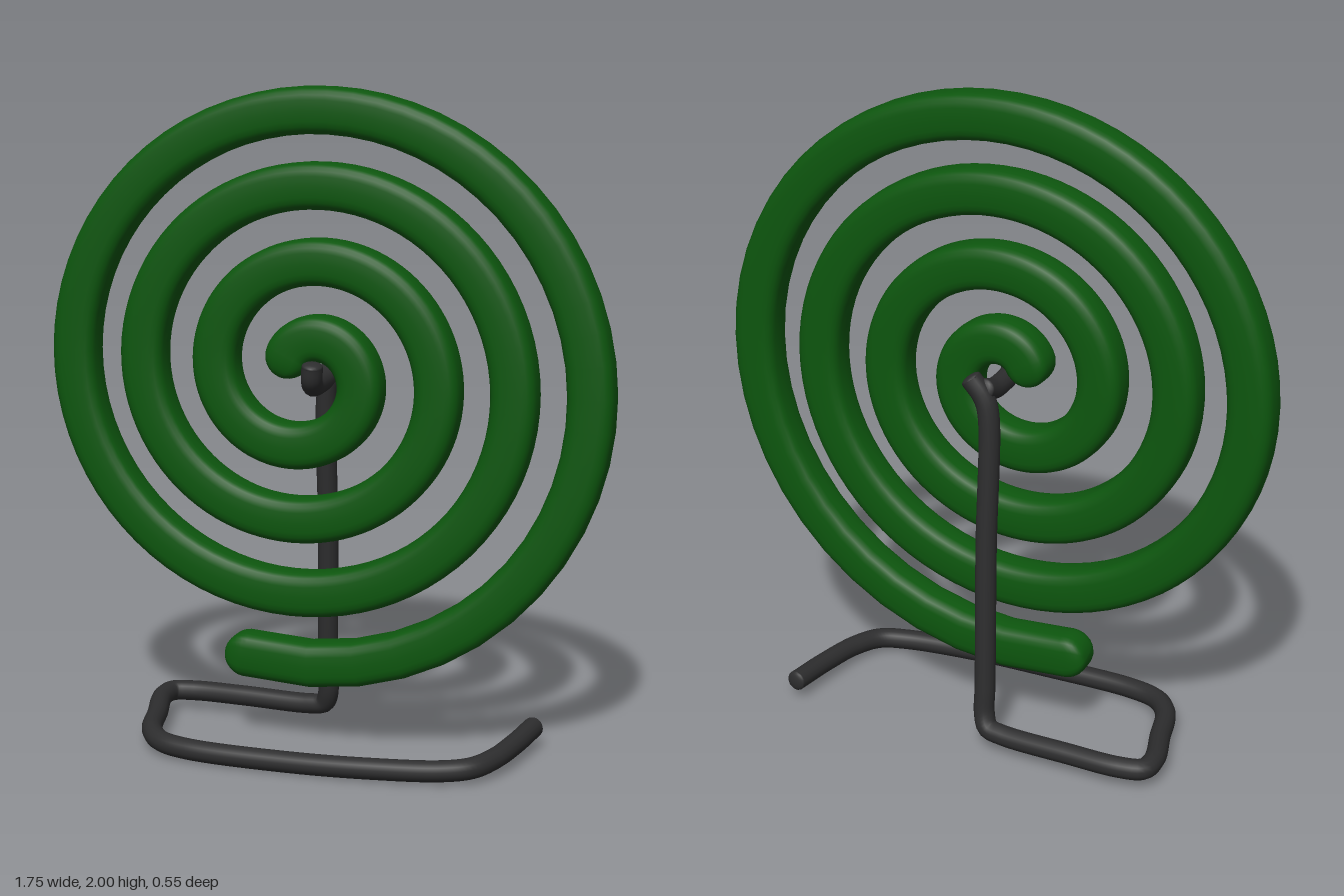
import * as THREE from 'three';

const V = (x, y, z) => new THREE.Vector3(x, y, z);

// Radii of the coil's centre line, one per quarter turn, from the outer end at the bottom
const RADII = [0.89, 0.857, 0.785, 0.75, 0.67, 0.63, 0.565, 0.525, 0.44, 0.4, 0.34, 0.29, 0.21, 0.16, 0.11, 0.06];
const radiusCurve = new THREE.CatmullRomCurve3(RADII.map((r, i) => V(r, i, 0)));

function spiralPoint(t) {
  const r = t < 0 ? RADII[0] - 0.06 * t : radiusCurve.getPoint(t / (RADII.length - 1)).x;
  const a = (t - 1) * Math.PI / 2;
  return V(-0.06 + r * Math.cos(a), 1.15 + r * Math.sin(a), -0.03);
}

// Flat spiral with a rounded-box cross-section and round ends
function coilGeometry() {
  const W = 0.07, D = 0.06, SIDES = 24, STEPS = 320, CAP = 8;
  const T0 = -0.14, T1 = 14.5;
  const rings = [];
  const tangentAt = (t) => spiralPoint(t + 0.01).sub(spiralPoint(t - 0.01)).normalize();
  const cap = (t, sign) => {
    const list = [];
    for (let i = 1; i <= CAP; i++) {
      const a = (i / CAP) * Math.PI / 2;
      const dir = tangentAt(t);
      list.push({
        p: spiralPoint(t).addScaledVector(dir, sign * W * Math.sin(a)), dir,
        w: W * Math.max(Math.cos(a), 0.001), d: D * Math.max(Math.pow(Math.cos(a), 0.4), 0.001),
      });
    }
    return list;
  };
  rings.push(...cap(T0, -1).reverse());
  for (let i = 0; i <= STEPS; i++) {
    // Steps grow finer toward the tight centre
    const t = T0 + (T1 - T0) * Math.pow(i / STEPS, 0.8);
    rings.push({ p: spiralPoint(t), dir: tangentAt(t), w: W, d: D });
  }
  rings.push(...cap(T1, 1));

  const pos = [], idx = [];
  const power = (v) => Math.sign(v) * Math.pow(Math.abs(v), 0.6);
  for (const { p, dir, w, d } of rings) {
    for (let j = 0; j < SIDES; j++) {
      const a = (j / SIDES) * Math.PI * 2;
      const u = w * power(Math.cos(a)), v = d * power(Math.sin(a));
      pos.push(p.x + dir.y * u, p.y - dir.x * u, p.z + v);
    }
  }
  for (let i = 0; i < rings.length - 1; i++) {
    for (let j = 0; j < SIDES; j++) {
      const k = (j + 1) % SIDES;
      const a = i * SIDES + j, b = i * SIDES + k, c = a + SIDES, e = b + SIDES;
      idx.push(a, b, c, b, e, c);
    }
  }
  const g = new THREE.BufferGeometry();
  g.setAttribute('position', new THREE.Float32BufferAttribute(pos, 3));
  // Outward winding: section runs outward -> front, rings run counter-clockwise
  for (let i = 0; i < idx.length; i += 3) [idx[i + 1], idx[i + 2]] = [idx[i + 2], idx[i + 1]];
  g.setIndex(orientOutward(idx, pos, SIDES, rings));
  g.computeVertexNormals();
  return g;
}

// Flip all faces if a middle face points into the tube
function orientOutward(idx, pos, sides, rings) {
  const ring = Math.floor(rings.length / 2);
  const at = ring * sides * 6;
  const [a, b, c] = [0, 1, 2].map((k) => V().fromArray(pos, idx[at + k] * 3));
  const normal = b.clone().sub(a).cross(c.clone().sub(a));
  if (normal.dot(a.clone().sub(rings[ring].p)) < 0) {
    for (let i = 0; i < idx.length; i += 3) [idx[i + 1], idx[i + 2]] = [idx[i + 2], idx[i + 1]];
  }
  return idx;
}

// Bent wire with softly rounded ends
function wire(name, points, segments, material) {
  const R = 0.032;
  const group = new THREE.Group();
  group.name = name;
  const curve = new THREE.CatmullRomCurve3(points.map((p) => V(...p)), false, 'centripetal');
  const rod = new THREE.Mesh(new THREE.TubeGeometry(curve, segments, R, 14), material);
  rod.name = name + 'Rod';
  group.add(rod);
  for (const t of [0, 1]) {
    const end = new THREE.Mesh(new THREE.SphereGeometry(R, 14, 10), material);
    end.name = name + 'End';
    end.scale.z = 0.4;
    end.position.copy(curve.getPoint(t));
    end.quaternion.setFromUnitVectors(V(0, 0, 1), curve.getTangent(t));
    group.add(end);
  }
  return group;
}

export function createModel() {
  const green = new THREE.MeshStandardMaterial({ color: 0x0d560e });
  green.name = 'coilGreen';
  const dark = new THREE.MeshStandardMaterial({ color: 0x2d2d2e });
  dark.name = 'wireDark';

  const model = new THREE.Group();
  model.name = 'coilOnStand';

  const coil = new THREE.Mesh(coilGeometry(), green);
  coil.name = 'spiralCoil';
  model.add(coil);

  // Base loop on the ground, rising into the back post
  model.add(wire('stand', [
    [0.594, 0.06, -0.23], [0.575, 0.055, -0.08], [0.545, 0.05, 0.06], [0.5, 0.045, 0.145], [0.42, 0.04, 0.185],
    [0.2, 0.036, 0.222], [-0.05, 0.033, 0.235], [-0.36, 0.036, 0.228], [-0.46, 0.04, 0.195], [-0.52, 0.046, 0.12],
    [-0.56, 0.052, -0.02], [-0.598, 0.06, -0.16], [-0.588, 0.06, -0.222], [-0.52, 0.06, -0.243],
    [-0.35, 0.06, -0.243], [-0.13, 0.06, -0.235], [-0.08, 0.07, -0.23], [-0.062, 0.11, -0.217],
    [-0.06, 0.2, -0.208], [-0.05, 0.65, -0.178], [-0.043, 1.08, -0.148], [-0.025, 1.13, -0.146], [0.012, 1.175, -0.147],
  ], 260, dark));

  // Hook passing through the coil's centre and turning up at the front
  model.add(wire('hook', [
    [-0.03, 1.15, -0.145], [-0.032, 1.132, -0.09], [-0.03, 1.128, -0.02],
    [-0.026, 1.132, 0.035], [-0.02, 1.155, 0.066], [-0.015, 1.195, 0.074],
  ], 50, dark));

  return model;
}
